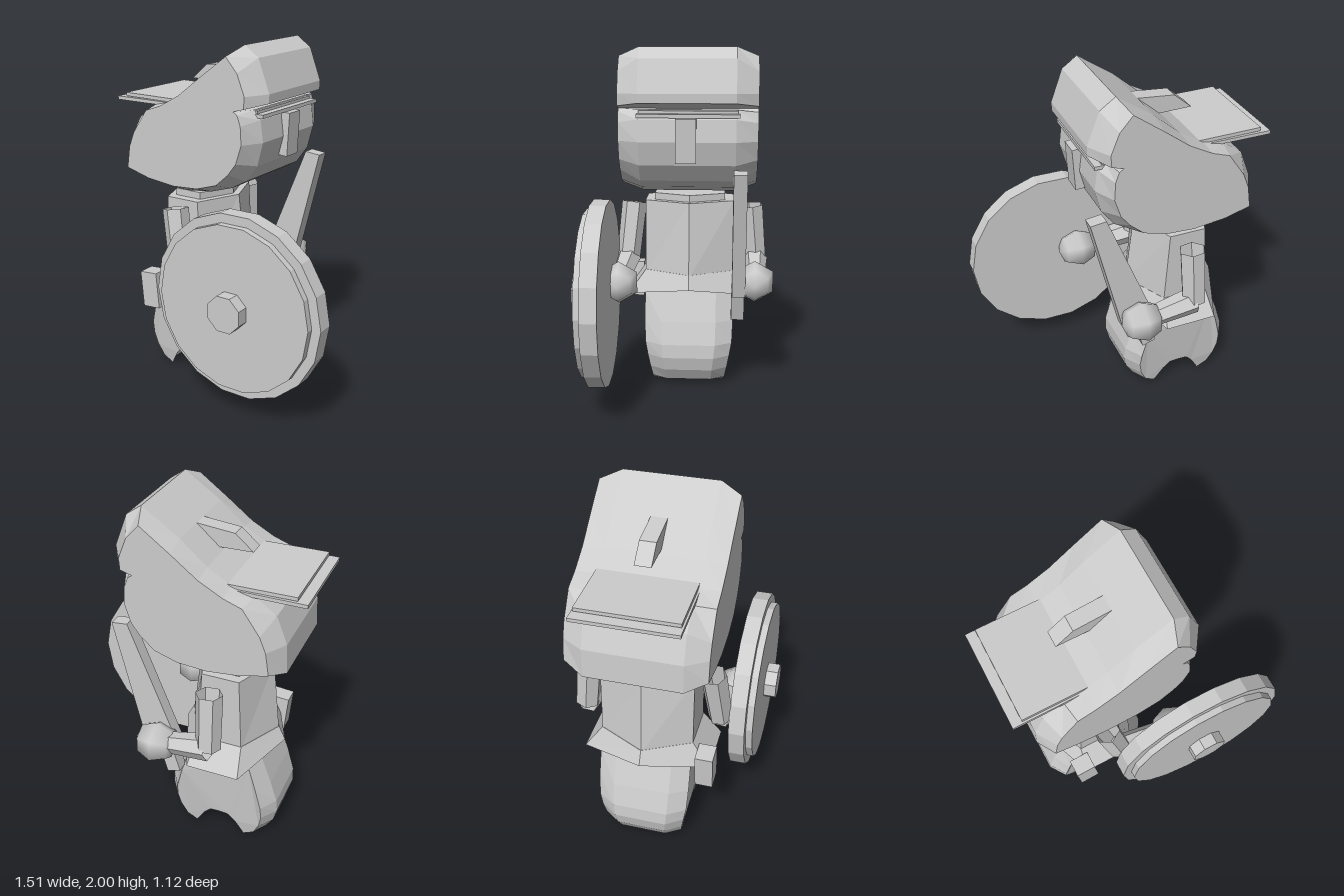
import * as THREE from 'three';

const grey = new THREE.MeshStandardMaterial({ color: 0xcccccc, side: THREE.DoubleSide });
const CX = -0.31, CZ = -0.063; // body axis

function flat(geo) {
  const g = geo.index ? geo.toNonIndexed() : geo;
  g.computeVertexNormals();
  return g;
}

// Joins equal-length counter-clockwise outlines running from back to front, and caps both ends
function loft(sections) {
  const pos = [], put = (...ps) => ps.forEach((p) => pos.push(...p));
  const n = sections[0].length;
  for (let i = 0; i < sections.length - 1; i++) {
    for (let j = 0; j < n; j++) {
      const k = (j + 1) % n;
      const [a, b, c, d] = [sections[i][j], sections[i][k], sections[i + 1][k], sections[i + 1][j]];
      put(a, b, c, a, c, d);
    }
  }
  const cap = (s, front) => {
    const pts = s.map((p) => new THREE.Vector2(p[0], p[1]));
    for (const [a, b, c] of THREE.ShapeUtils.triangulateShape(pts, [])) {
      if (front) put(s[a], s[b], s[c]);
      else put(s[a], s[c], s[b]);
    }
  };
  cap(sections[0], false);
  cap(sections[sections.length - 1], true);
  const g = new THREE.BufferGeometry();
  g.setAttribute('position', new THREE.Float32BufferAttribute(pos, 3));
  return flat(g);
}

// Six-sided prism with its own x radius and z half-depth at each end
function hexPrism(rTop, zTop, rBottom, zBottom, y0, y1, drop = 0) {
  const g = new THREE.CylinderGeometry(1, 1, 1, 6).rotateY(Math.PI / 6);
  const p = g.attributes.position;
  for (let i = 0; i < p.count; i++) {
    const top = p.getY(i) > 0, z = p.getZ(i);
    const y = top ? y1 : y0 - (Math.abs(z) > 0.5 ? drop : 0);
    p.setXYZ(i, CX + p.getX(i) * (top ? rTop : rBottom), y, CZ + (z / 0.866) * (top ? zTop : zBottom));
  }
  return flat(g);
}

// Open six-sided tube between two points
function limb(a, b, r0, r1) {
  const A = new THREE.Vector3(...a), B = new THREE.Vector3(...b);
  const dir = B.clone().sub(A);
  const g = new THREE.CylinderGeometry(r1, r0, dir.length(), 6, 1, true);
  g.applyQuaternion(new THREE.Quaternion().setFromUnitVectors(new THREE.Vector3(0, 1, 0), dir.normalize()));
  const m = A.add(B).multiplyScalar(0.5);
  return flat(g.translate(m.x, m.y, m.z));
}

const box = (w, h, d, x, y, z, tilt = 0) => new THREE.BoxGeometry(w, h, d).rotateZ(tilt).translate(x, y, z);
const disc = (r, sides, z0, z1, turn) =>
  flat(new THREE.CylinderGeometry(r, r, z1 - z0, sides).rotateX(Math.PI / 2).rotateZ(turn).translate(0.23, 0.655, (z0 + z1) / 2));

// Flat side outline with a straight thickness in z
const slab = (pts, z0, z1) => loft([z0, z1].map((z) => pts.map(([x, y]) => [x, y, z])));

export function createModel() {
  const model = new THREE.Group();
  const add = (name, geo) => {
    const m = new THREE.Mesh(geo, grey);
    m.name = name;
    model.add(m);
    return m;
  };

  // Head: rim outline (x, y), then the matching inset outline on the flat sides
  const head = [
    [-0.67, 1.23, -0.61, 1.27], [-0.44, 1.18, -0.46, 1.23], [-0.28, 1.16, -0.28, 1.21],
    [-0.105, 1.18, -0.12, 1.22], [0.04, 1.225, 0.01, 1.26], [0.13, 1.275, 0.09, 1.33],
    [0.2, 1.37, 0.14, 1.395], [0.235, 1.5, 0.175, 1.5], [0.22, 1.62, 0.17, 1.6],
    [0.18, 1.67, 0.15, 1.655], [0.13, 1.672, 0.125, 1.672], [0.27, 1.71, 0.19, 1.69],
    [0.272, 1.76, 0.195, 1.755], [0.205, 1.94, 0.15, 1.87], [0.12, 2.0, 0.08, 1.95],
    [-0.085, 1.86, -0.085, 1.83], [-0.23, 1.735, -0.23, 1.72], [-0.36, 1.66, -0.36, 1.65],
    [-0.48, 1.63, -0.46, 1.615], [-0.6, 1.545, -0.555, 1.48], [-0.66, 1.395, -0.59, 1.395],
  ];
  const rim = (z) => head.map((p) => [p[0], p[1], z]);
  const side = (z) => head.map((p) => [p[2], p[3], z]);
  add('head', loft([side(-0.445), rim(-0.325), rim(0.2), side(0.315)]));

  // Plates running through the head, face strip and crest
  add('brimLower', box(0.995, 0.02, 0.555, -0.2575, 1.64, -0.067));
  add('brimUpper', box(0.9, 0.02, 0.535, -0.25, 1.66, -0.067, -0.01));
  add('nose', box(0.055, 0.24, 0.11, 0.238, 1.51, -0.057, -0.06));
  add('crest', slab([[-0.395, 1.755], [-0.19, 1.75], [-0.04, 1.8], [-0.085, 1.86], [-0.295, 1.84]], -0.12, -0.03));

  // Body
  add('neck', hexPrism(0.17, 0.208, 0.17, 0.208, 1.08, 1.14));
  add('torso', hexPrism(0.21, 0.262, 0.26, 0.262, 0.66, 1.1));
  add('skirt', hexPrism(0.26, 0.262, 0.3, 0.365, 0.6, 0.68, 0.065));

  // Legs: right half of the arched outline (offset from the axis), mirrored
  const half = [
    [0, 0.14], [0.07, 0.135], [0.12, 0.09], [0.185, 0.005], [0.26, 0.035],
    [0.305, 0.11], [0.325, 0.19], [0.32, 0.27], [0.28, 0.4], [0.22, 0.56], [0.2, 0.62],
  ];
  const outline = [...half, ...half.slice(1).reverse().map(([x, y]) => [-x, y])];
  const legSection = (depth, squeeze) =>
    outline.map(([x, y]) => [CX + x * squeeze, y < 0.01 ? 0 : y, CZ + depth * (0.8 + 0.2 * Math.min(1, y / 0.3))]);
  add('legs', loft([legSection(-0.262, 0.8), legSection(-0.16, 1), legSection(0.16, 1), legSection(0.262, 0.8)]));

  // Arms and hands
  const arms = [
    ['shield', [-0.3, 1.07, 0.275], [-0.24, 0.73, 0.31], [0.1, 0.68, 0.33]],
    ['sword', [-0.29, 1.06, -0.425], [-0.3, 0.73, -0.455], [0.01, 0.67, -0.445]],
  ];
  for (const [name, shoulder, elbow, hand] of arms) {
    add(name + 'UpperArm', limb(shoulder, elbow, 0.075, 0.07));
    add(name + 'Forearm', limb(elbow, hand, 0.075, 0.055));
    add(name + 'Hand', new THREE.SphereGeometry(0.122, 6, 4).rotateZ(Math.PI / 2).translate(...hand));
  }

  // Shield
  add('shieldRim', disc(0.522, 18, 0.365, 0.457, Math.PI / 2));
  add('shieldFace', disc(0.47, 18, 0.457, 0.495, Math.PI / 2));
  add('shieldBoss', disc(0.107, 8, 0.495, 0.565, Math.PI / 8));

  // Sword: tapered blade with its grip below the hand
  add('blade', slab([[-0.1, 0.62], [0.1, 0.6], [0.285, 1.335], [0.195, 1.345]], -0.39, -0.315));
  add('grip', box(0.08, 0.2, 0.075, -0.035, 0.53, -0.35, -0.3));

  // Pouch at the hip
  add('pouch', box(0.115, 0.215, 0.1, -0.465, 0.55, 0.28, 0.08));

  return model;
}
